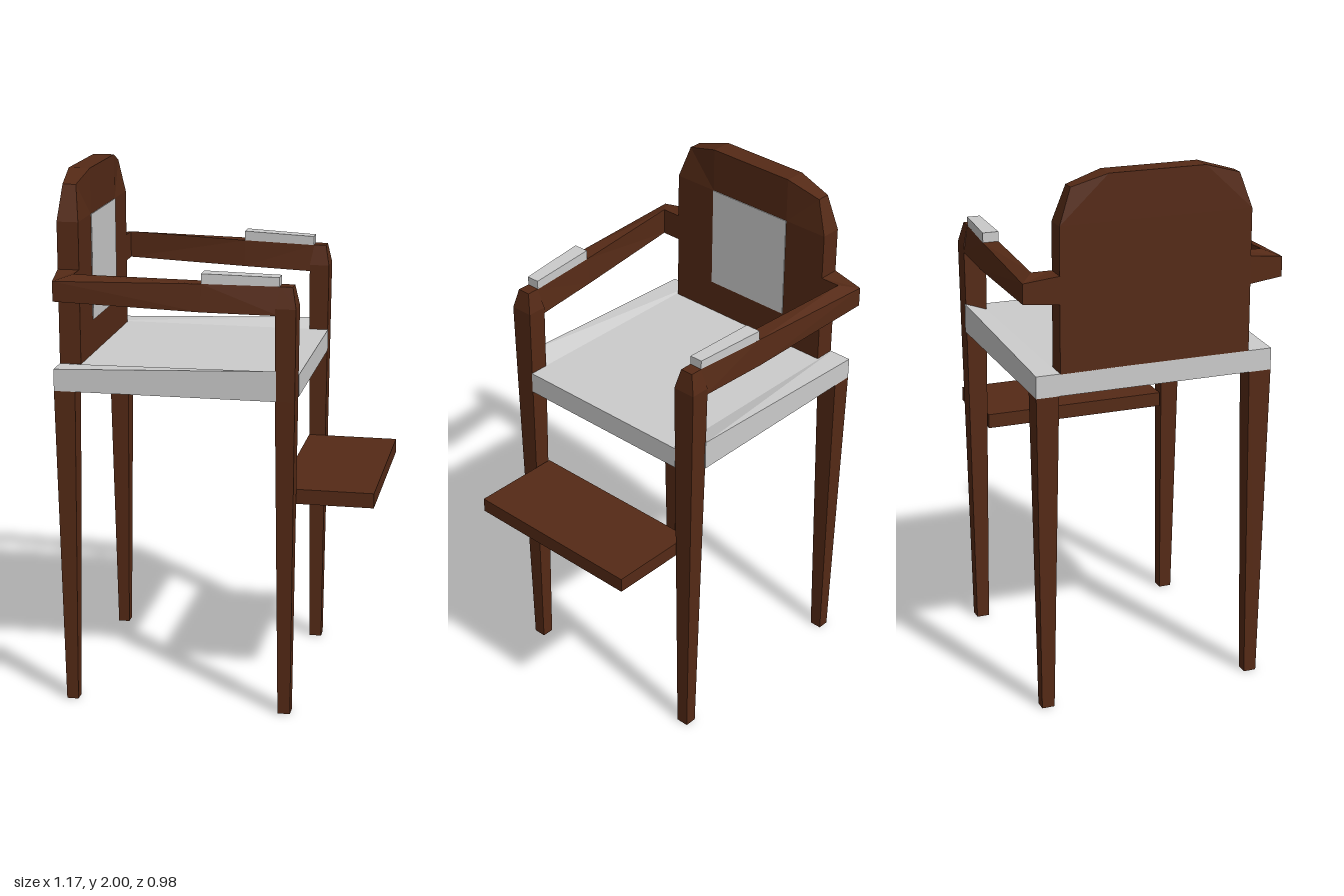
import * as THREE from 'three';

const wood = new THREE.MeshStandardMaterial({ color: 0x552a16, flatShading: true });
const grey = new THREE.MeshStandardMaterial({ color: 0xcccccc, flatShading: true });

// Closed solid through four-cornered sections, wound so that it faces outward
function loft(sections) {
  const quads = [];
  for (let i = 0; i + 1 < sections.length; i++) {
    const a = sections[i], b = sections[i + 1];
    for (let k = 0; k < 4; k++) {
      const n = (k + 1) % 4;
      quads.push([a[k], a[n], b[n], b[k]]);
    }
  }
  quads.push([...sections[0]].reverse(), sections[sections.length - 1]);
  const tris = quads.flatMap(([a, b, c, d]) => [[a, b, c], [a, c, d]]);
  let volume = 0;
  for (const t of tris) {
    const [a, b, c] = t.map((p) => new THREE.Vector3(...p));
    volume += a.dot(b.cross(c));
  }
  if (volume < 0) tris.forEach((t) => t.reverse());
  const geometry = new THREE.BufferGeometry();
  geometry.setAttribute('position', new THREE.Float32BufferAttribute(tris.flat(2), 3));
  geometry.computeVertexNormals();
  return geometry;
}

// Horizontal rectangle at height y
const rect = (y, x0, x1, z0, z1) => [[x0, y, z0], [x1, y, z0], [x1, y, z1], [x0, y, z1]];

// Reflect sections to the other side
const side = (s, sections) => sections.map((r) => r.map(([x, y, z]) => [x, y, z * s]));

export function createModel() {
  const model = new THREE.Group();
  model.name = 'highChair';

  const add = (name, material, sections) => {
    const mesh = new THREE.Mesh(loft(sections), material);
    mesh.name = name;
    model.add(mesh);
  };

  // Seat and footrest
  add('seat', grey, [
    rect(1.22, -0.588, 0.305, -0.365, 0.365),
    rect(1.302, -0.588, 0.305, -0.365, 0.365),
  ]);
  add('footrest', wood, [
    rect(0.812, 0.235, 0.585, -0.362, 0.362),
    rect(0.868, 0.235, 0.585, -0.362, 0.362),
  ]);

  // Backrest with its inset cushion
  add('backrest', wood, [
    rect(1.3, -0.588, -0.508, -0.36, 0.36),
    rect(1.83, -0.588, -0.508, -0.36, 0.36),
  ]);
  add('backrestTop', wood, [
    rect(1.83, -0.588, -0.508, -0.18, 0.18),
    rect(2, -0.588, -0.508, -0.18, 0.18),
  ]);
  add('backCushion', grey, [
    rect(1.43, -0.53, -0.505, -0.18, 0.18),
    rect(1.83, -0.53, -0.505, -0.18, 0.18),
  ]);

  for (const s of [1, -1]) {
    const label = s > 0 ? 'left' : 'right';
    const pair = (name, material, sections) => add(label + name, material, side(s, sections));

    // Thinned upper corner of the backrest
    pair('BackrestCorner', wood, [
      [[-0.588, 1.83, 0.18], [-0.588, 1.83, 0.36], [-0.575, 1.96, 0.315], [-0.588, 2, 0.18]],
      [[-0.508, 1.83, 0.18], [-0.508, 1.83, 0.36], [-0.525, 1.96, 0.315], [-0.508, 2, 0.18]],
    ]);

    // Seat edge, rising towards the front leg
    pair('SeatEdge', grey, [
      rect(1.22, -0.588, 0.235, 0.365, 0.45),
      [[-0.588, 1.302, 0.365], [0.235, 1.302, 0.365], [0.235, 1.332, 0.45], [-0.588, 1.302, 0.45]],
    ]);

    // Tapered legs; the front ones run up to the arms
    pair('BackLeg', wood, [
      rect(0, -0.571, -0.527, 0.385, 0.433),
      rect(1.22, -0.588, -0.508, 0.365, 0.45),
    ]);
    pair('FrontLeg', wood, [
      rect(0, 0.244, 0.291, 0.375, 0.424),
      rect(1.22, 0.231, 0.303, 0.365, 0.445),
      rect(1.56, 0.23, 0.306, 0.362, 0.45),
      rect(1.637, 0.245, 0.291, 0.38, 0.43),
    ]);

    // Arm: bevelled bar that turns inward to meet the backrest
    pair('Arm', wood, [
      [[0.245, 1.535, 0.362], [0.245, 1.535, 0.449], [0.245, 1.637, 0.43], [0.245, 1.637, 0.38]],
      [[-0.035, 1.541, 0.387], [-0.035, 1.541, 0.468], [-0.035, 1.642, 0.458], [-0.035, 1.642, 0.398]],
      [[-0.508, 1.552, 0.436], [-0.573, 1.563, 0.49], [-0.573, 1.637, 0.49], [-0.508, 1.655, 0.436]],
      [[-0.508, 1.552, 0.36], [-0.588, 1.552, 0.36], [-0.588, 1.655, 0.36], [-0.508, 1.655, 0.36]],
    ]);

    // Pad on top of the arm
    pair('ArmPad', grey, [
      [[0.243, 1.636, 0.38], [0.243, 1.636, 0.43], [0.243, 1.67, 0.43], [0.243, 1.67, 0.38]],
      [[-0.035, 1.64, 0.398], [-0.035, 1.64, 0.458], [-0.035, 1.679, 0.458], [-0.035, 1.679, 0.398]],
    ]);
  }
  return model;
}
